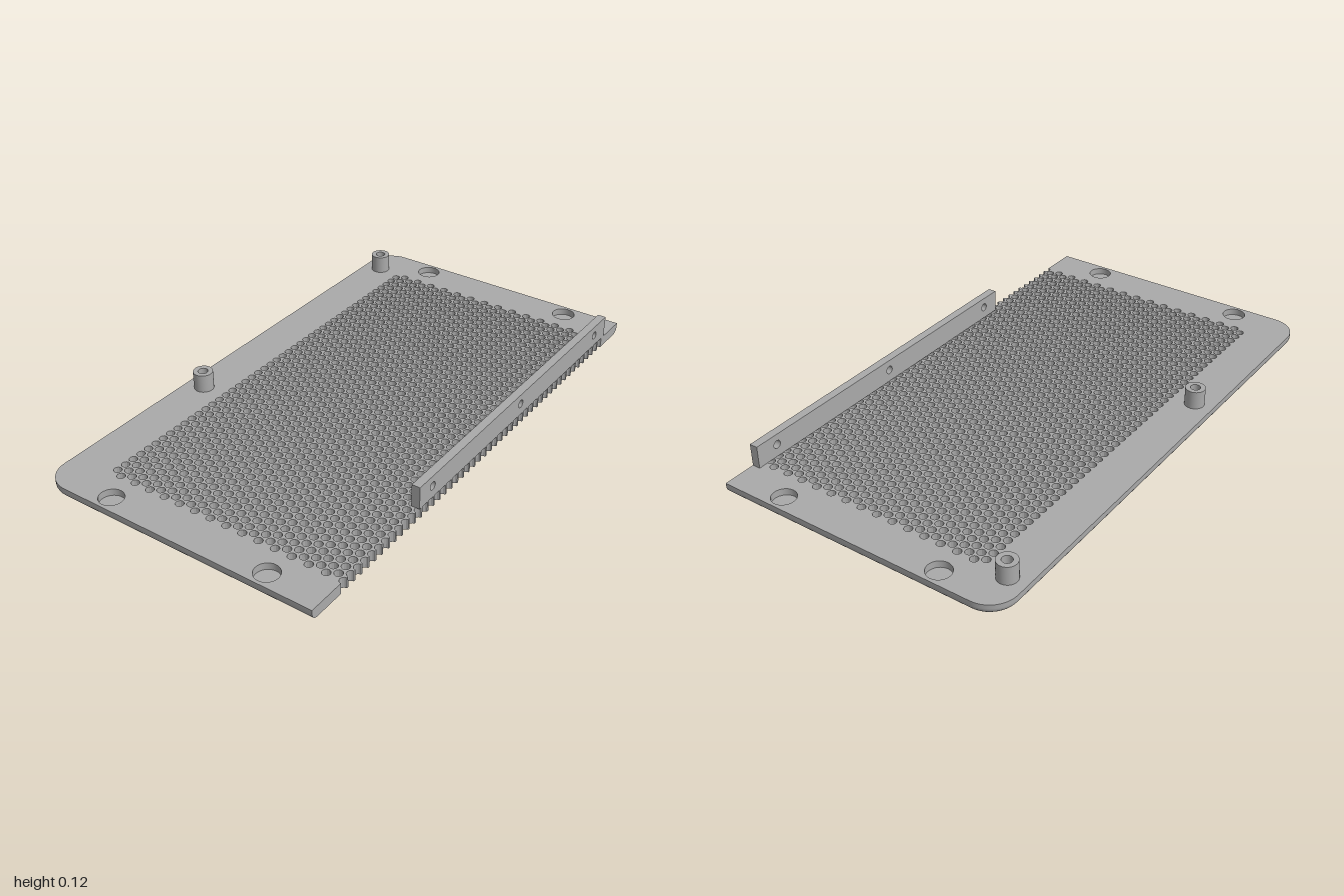
import * as THREE from 'three';

const X = 0.546, TOP = 0.04, FILLET = 0.025, CORNER = 0.1;
// Hexagonal perforation grid
const PITCH = 0.0318, R = PITCH / 1.5, Q = R * Math.sqrt(3), HOLE = 0.0148, COLS = 30;

// Outer edge from the back right corner round the left side to the front right
function outerPath(inset) {
  const half = [[X, -1 + inset]];
  for (let i = 0; i <= 10; i++) {
    const a = -Math.PI / 2 - (i / 10) * Math.PI / 2, r = CORNER - inset;
    half.push([-X + CORNER + r * Math.cos(a), -1 + CORNER + r * Math.sin(a)]);
  }
  return [...half, ...half.map(([x, z]) => [x, -z]).reverse()];
}

// Zigzag edge where the solid border meets the perforated field
function innerPath() {
  const back = [], side = [];
  for (let k = 0; k < COLS; k++) {
    const cx = X - k * PITCH, z = (k % 2 ? -23 : -23.5) * Q;
    back.push([k ? cx + R / 2 : X, z], [cx - R / 2, z]);
  }
  const left = X - (COLS - 1) * PITCH;
  for (let j = 0; j < 46; j++) {
    side.push([left - R, (j - 22.5) * Q]);
    if (j < 45) side.push([left - R / 2, (j - 22) * Q]);
  }
  return [...back, ...side, ...back.map(([x, z]) => [x, -z]).reverse()];
}

function borderShape(inset) {
  const pts = [...outerPath(inset), ...innerPath().reverse()];
  return new THREE.Shape(pts.map(([x, z]) => new THREE.Vector2(x, z)));
}

// Rim wall with a rounded lower edge
function rimProfile() {
  const rows = [[0, TOP]];
  for (let i = 0; i <= 6; i++) {
    const a = (i / 6) * Math.PI / 2;
    rows.push([FILLET * (1 - Math.cos(a)), FILLET * (1 - Math.sin(a))]);
  }
  return rows;
}

function rimGeometry() {
  const pos = [], index = [], rows = rimProfile();
  const n = outerPath(0).length;
  rows.forEach(([inset, y], v) => outerPath(inset).forEach(([x, z], u) => {
    pos.push(x, y, z);
    if (v < rows.length - 1 && u < n - 1) {
      const a = v * n + u, b = a + n;
      index.push(a, b, a + 1, a + 1, b, b + 1);
    }
  }));
  const g = new THREE.BufferGeometry();
  g.setAttribute('position', new THREE.Float32BufferAttribute(pos, 3));
  g.setIndex(index);
  g.computeVertexNormals();
  return g;
}

// Hexagonal cells, each with a round through hole; the last column is cut in half
function perforationGeometry() {
  const pos = [];
  const quad = (a, b, c, d) => pos.push(...a, ...b, ...c, ...a, ...c, ...d);
  for (let k = 0; k < COLS; k++) {
    const cx = X - k * PITCH, count = k % 2 ? 46 : 47;
    for (let j = 0; j < count; j++) {
      const cz = (j - (count - 1) / 2) * Q;
      const point = (i, outer, y) => {
        const r = outer ? (i % 2 ? Q / 2 : R) : HOLE, a = i * Math.PI / 6;
        return [cx + r * Math.cos(a), y, cz + r * Math.sin(a)];
      };
      for (let i = k ? 0 : 3; i < (k ? 12 : 9); i++) {
        quad(point(i, 0, TOP), point(i + 1, 0, TOP), point(i + 1, 1, TOP), point(i, 1, TOP));
        quad(point(i, 1, 0), point(i + 1, 1, 0), point(i + 1, 0, 0), point(i, 0, 0));
        quad(point(i, 0, 0), point(i + 1, 0, 0), point(i + 1, 0, TOP), point(i, 0, TOP));
      }
      if (k === 0) for (const [lo, hi] of [[-Q / 2, -HOLE], [HOLE, Q / 2]]) {
        quad([X, 0, cz + lo], [X, TOP, cz + lo], [X, TOP, cz + hi], [X, 0, cz + hi]);
      }
    }
  }
  const g = new THREE.BufferGeometry();
  g.setAttribute('position', new THREE.Float32BufferAttribute(pos, 3));
  g.computeVertexNormals();
  return g;
}

export function createModel() {
  const group = new THREE.Group();
  const grey = new THREE.MeshStandardMaterial({ color: 0xaaaaaa });
  grey.name = 'grey';
  const add = (name, geometry, x = 0, y = 0, z = 0) => {
    const mesh = new THREE.Mesh(geometry, grey);
    mesh.name = name;
    mesh.position.set(x, y, z);
    group.add(mesh);
    return mesh;
  };
  const lathe = (pts) => {
    // Separate bands keep the turned edges sharp
    return pts.slice(1).map((p, i) =>
      new THREE.LatheGeometry([pts[i], p].map(([r, y]) => new THREE.Vector2(r, y)), 32));
  };

  // Plate: border faces, rim and perforated field
  const recesses = [];
  for (const x of [-0.29, 0.34]) for (const z of [-0.945, 0.945]) recesses.push([x, z]);
  const topShape = borderShape(0);
  for (const [x, z] of recesses) {
    topShape.holes.push(new THREE.Path().absarc(x, z, 0.043, 0, Math.PI * 2, true));
  }
  add('borderTop', new THREE.ShapeGeometry(topShape, 16).rotateX(-Math.PI / 2), 0, TOP, 0);
  add('borderBottom', new THREE.ShapeGeometry(borderShape(FILLET)).rotateX(Math.PI / 2));
  add('rim', rimGeometry());
  add('perforatedField', perforationGeometry());

  // Flat border ends on the straight right side
  for (const s of [-1, 1]) {
    const pts = [[23.5 * Q, 0], [23.5 * Q, TOP], ...rimProfile().map(([i, y]) => [1 - i, y])];
    const shape = new THREE.Shape(pts.map(([z, y]) => new THREE.Vector2(s * z, y)));
    add('borderEnd', new THREE.ShapeGeometry(shape).rotateY(Math.PI / 2), X, 0, 0);
  }

  // Shallow round recesses
  for (const [x, z] of recesses) {
    for (const g of lathe([[0.043, TOP], [0.043, 0.015], [0, 0.015]])) {
      // Inward-facing band and upward-facing floor
      add('recess', g, x, 0, z);
    }
  }

  // Screw posts with blind bores
  for (const z of [-0.855, 0.28]) {
    const profile = [[0.036, TOP], [0.036, 0.108], [0.018, 0.108], [0.018, 0.05], [0, 0.05]];
    for (const g of lathe(profile)) add('screwPost', g, -0.475, 0, z);
  }

  // Upright flange with three through holes
  const flange = new THREE.Shape();
  flange.moveTo(-0.878, TOP).lineTo(0.436, TOP).lineTo(0.436, 0.124).lineTo(-0.878, 0.124);
  for (const z of [0.36, -0.215, -0.79]) {
    flange.holes.push(new THREE.Path().absarc(z, 0.085, 0.015, 0, Math.PI * 2, true));
  }
  const flangeGeometry = new THREE.ExtrudeGeometry(flange, {
    depth: 0.031, bevelEnabled: false, curveSegments: 16,
  });
  add('flange', flangeGeometry.rotateY(-Math.PI / 2), X, 0, 0);

  return group;
}
